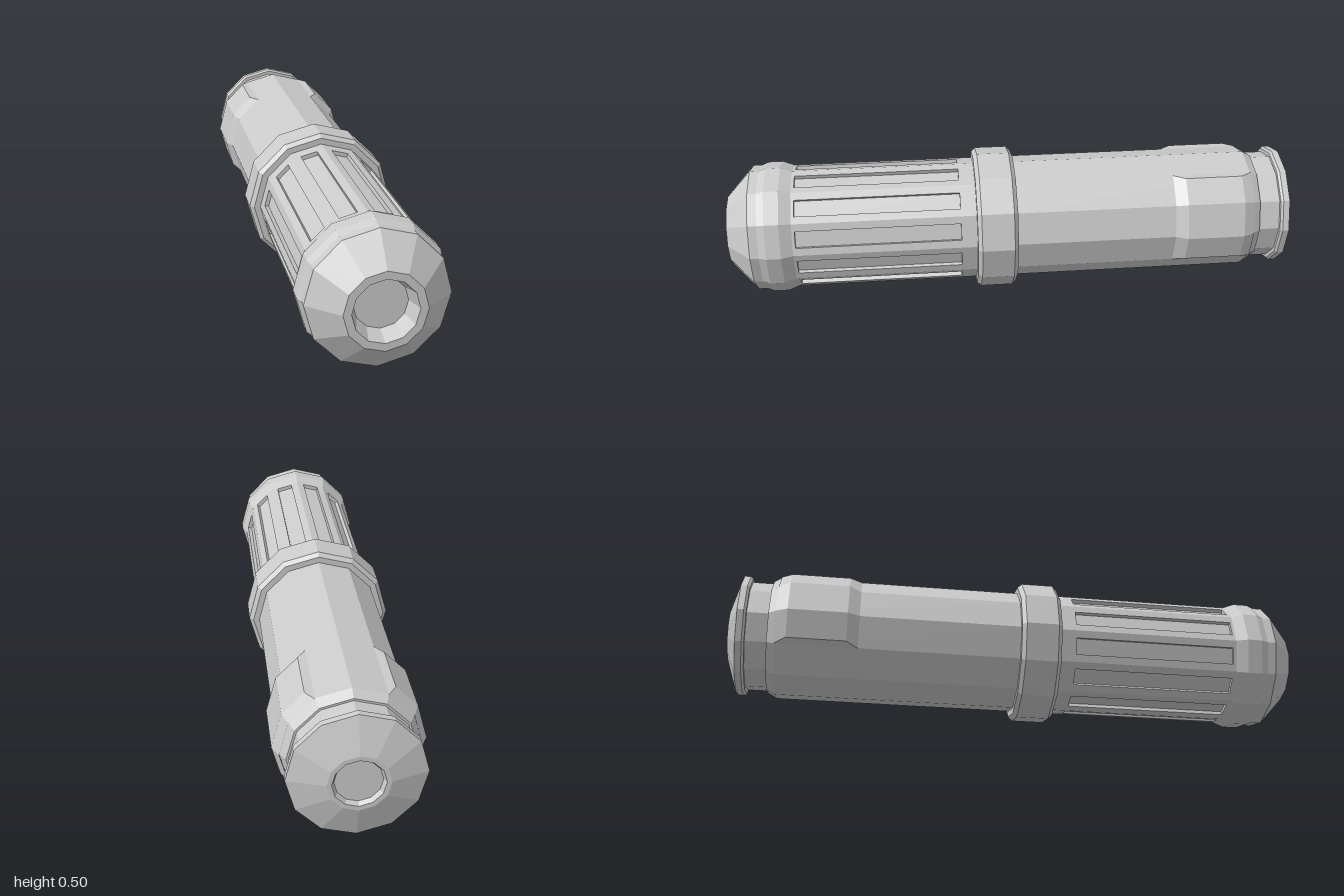
import * as THREE from 'three';

const SIDES = 12;
const R = 0.215; // main tube radius
const STEP = (Math.PI * 2) / SIDES;
const material = new THREE.MeshStandardMaterial({ color: 0xcccccc, flatShading: true });

// Twelve-sided part turned around z; profile is [radius, z] from back to front
function turned(name, profile) {
  const points = profile.map(([r, z]) => new THREE.Vector2(r, z));
  const geometry = new THREE.LatheGeometry(points, SIDES).rotateX(Math.PI / 2);
  const mesh = new THREE.Mesh(geometry, material);
  mesh.name = name;
  return mesh;
}

// Flat grip panel with a long slot, its outer face on z = 0
function slottedPanel(zFront, zBack, slotFront, slotBack, depth) {
  const half = R * Math.sin(STEP / 2);
  const slot = 0.029;
  const rect = (path, w, a, b) =>
    path.moveTo(-w, a).lineTo(w, a).lineTo(w, b).lineTo(-w, b).closePath();
  const shape = rect(new THREE.Shape(), half, zBack, zFront);
  shape.holes.push(rect(new THREE.Path(), slot, slotBack, slotFront));
  const geometry = new THREE.ExtrudeGeometry(shape, { depth, bevelEnabled: false });
  // stand the panel along z, facing +y
  return geometry.translate(0, 0, -depth).rotateX(-Math.PI / 2).scale(-1, 1, -1);
}

// Raised plate wrapping three facets, chamfered on all four sides
function sidePadGeometry() {
  const at = (r, deg) => {
    const a = THREE.MathUtils.degToRad(deg);
    return new THREE.Vector2(r * Math.cos(a), r * Math.sin(a));
  };
  const top = 0.235;
  const low = at(R, -30), high = at(R, 60);
  const base = [low, low, at(R, 0), at(R, 30), high, high];
  const raised = [
    low,
    at(top, -30).lerp(at(top, 0), 0.2),
    at(top, 0),
    at(top, 30),
    at(top, 60).lerp(at(top, 30), 0.2),
    high,
  ];
  const rows = [[base, -0.555], [raised, -0.595], [raised, -0.795], [base, -0.835]];
  const positions = [];
  const index = [];
  rows.forEach(([section, z]) => section.forEach((p) => positions.push(p.x, p.y, z)));
  const n = base.length;
  for (let i = 0; i < rows.length - 1; i++) {
    for (let j = 0; j < n - 1; j++) {
      const a = i * n + j, b = a + 1, c = a + n, d = c + 1;
      // split corner quads along the chamfer line
      if ((i === 0) === (j === 0)) index.push(a, c, d, a, d, b);
      else index.push(a, c, b, b, c, d);
    }
  }
  const geometry = new THREE.BufferGeometry();
  geometry.setAttribute('position', new THREE.Float32BufferAttribute(positions, 3));
  geometry.setIndex(index);
  geometry.computeVertexNormals();
  return geometry;
}

export function createModel() {
  const model = new THREE.Group();
  model.name = 'handle';
  const axis = new THREE.Group();
  axis.name = 'turnedParts';
  axis.position.y = 0.25;
  model.add(axis);

  // Nose with a recessed opening
  axis.add(turned('nose', [
    [R, 0.77], [0.23, 0.81], [0.23, 0.86], [0.22, 0.885], [0.22, 0.915],
    [0.125, 1], [0.1, 1], [0.082, 0.94], [0, 0.94],
  ]));

  // Grip: inner core seen through the slots, and twelve slotted panels
  const depth = 0.014;
  axis.add(turned('gripCore', [[R - depth, 0.13], [R - depth, 0.78]]));
  const grip = new THREE.Group();
  grip.name = 'grip';
  const panel = slottedPanel(0.775, 0.13, 0.76, 0.195, depth + 0.004);
  panel.translate(0, R * Math.cos(STEP / 2), 0);
  for (let i = 0; i < SIDES; i++) {
    const mesh = new THREE.Mesh(panel, material);
    mesh.name = 'gripPanel';
    mesh.rotation.z = (i + 0.5) * STEP;
    grip.add(mesh);
  }
  axis.add(grip);

  // Wide bevelled collar
  axis.add(turned('collar', [
    [R - 0.01, 0], [0.236, 0], [0.25, 0.014], [0.25, 0.126], [0.236, 0.14], [R - 0.01, 0.14],
  ]));

  // Rear tube tapering into the neck
  axis.add(turned('rearTube', [
    [0.19, -0.94], [0.19, -0.86], [0.197, -0.86], [R, -0.83], [R, 0.01],
  ]));

  // Raised pads on both sides; the half turn less one facet mirrors the first
  const padGeometry = sidePadGeometry();
  [['leftPad', 0], ['rightPad', 5 * STEP]].forEach(([name, turn]) => {
    const pad = new THREE.Mesh(padGeometry, material);
    pad.name = name;
    pad.rotation.z = turn;
    axis.add(pad);
  });

  // End cap with a shallow dimple
  axis.add(turned('endCap', [
    [0, -0.985], [0.072, -0.985], [0.08, -1], [0.095, -1],
    [0.21, -0.962], [0.21, -0.94], [0.203, -0.932], [0.18, -0.932],
  ]));

  return model;
}
